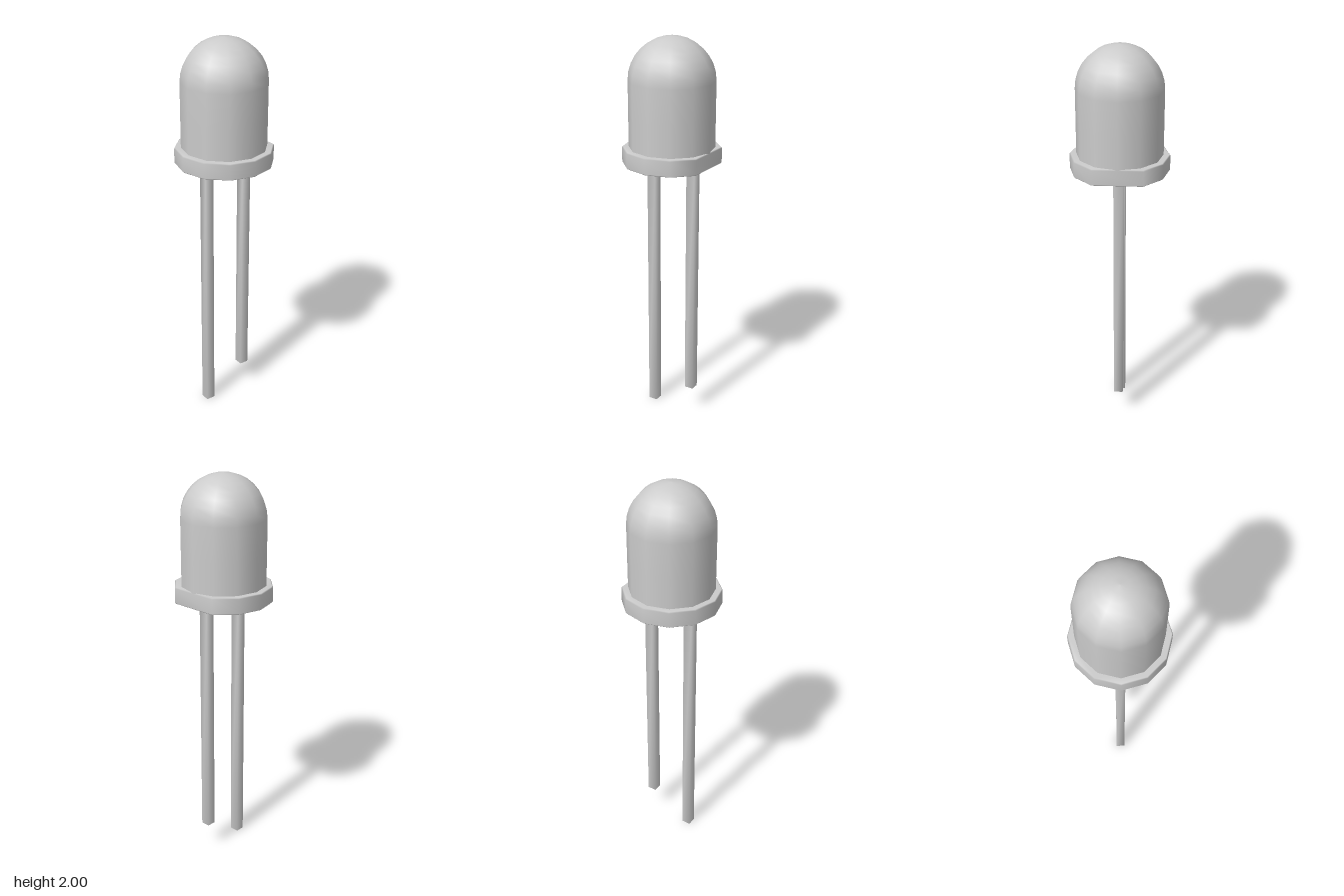
import * as THREE from 'three';
import { mergeVertices } from 'three/addons/utils/BufferGeometryUtils.js';

const CX = 0.015; // axis of the lens
const SIDES = 12;

// Weld all corners so the shading runs smoothly over the edges
function smooth(geometry) {
  geometry.deleteAttribute('normal');
  geometry.deleteAttribute('uv');
  const welded = mergeVertices(geometry, 1e-4);
  welded.computeVertexNormals();
  return welded;
}

export function createModel() {
  const group = new THREE.Group();
  const material = new THREE.MeshStandardMaterial({ color: 0xcccccc });
  const add = (name, geometry, x, y) => {
    const mesh = new THREE.Mesh(geometry, material);
    mesh.name = name;
    mesh.position.set(x, y, 0);
    group.add(mesh);
  };

  // Lens: straight barrel with a hemispherical dome
  const r = 0.213, domeBase = 1.787;
  const profile = [new THREE.Vector2(r, 1.45), new THREE.Vector2(r, 1.62)];
  for (let i = 0; i <= 8; i++) {
    const a = (i / 8) * Math.PI / 2;
    profile.push(new THREE.Vector2(i === 8 ? 0 : r * Math.cos(a), domeBase + r * Math.sin(a)));
  }
  add('lens', new THREE.LatheGeometry(profile, SIDES), CX, 0);

  // Flange: twelve-sided rim, the +x corner left out to form the flat
  const rim = [];
  for (let i = 1; i < SIDES; i++) {
    const a = (i / SIDES) * Math.PI * 2;
    rim.push(new THREE.Vector2(0.246 * Math.cos(a), 0.246 * Math.sin(a)));
  }
  const bevel = 0.005;
  const flange = new THREE.ExtrudeGeometry(new THREE.Shape(rim), {
    depth: 0.083 - 2 * bevel, bevelEnabled: true, bevelSegments: 1,
    bevelSize: bevel, bevelThickness: bevel, bevelOffset: -bevel,
  });
  flange.rotateX(-Math.PI / 2);
  add('flange', smooth(flange), CX, 1.377 + bevel);

  // Leads: a long and a short square pin
  const top = 1.4;
  for (const [name, x, bottom] of [['longLead', -0.092, 0], ['shortLead', 0.137, 0.143]]) {
    const pin = new THREE.BoxGeometry(0.047, top - bottom, 0.047);
    add(name, smooth(pin), x, (top + bottom) / 2);
  }
  return group;
}
